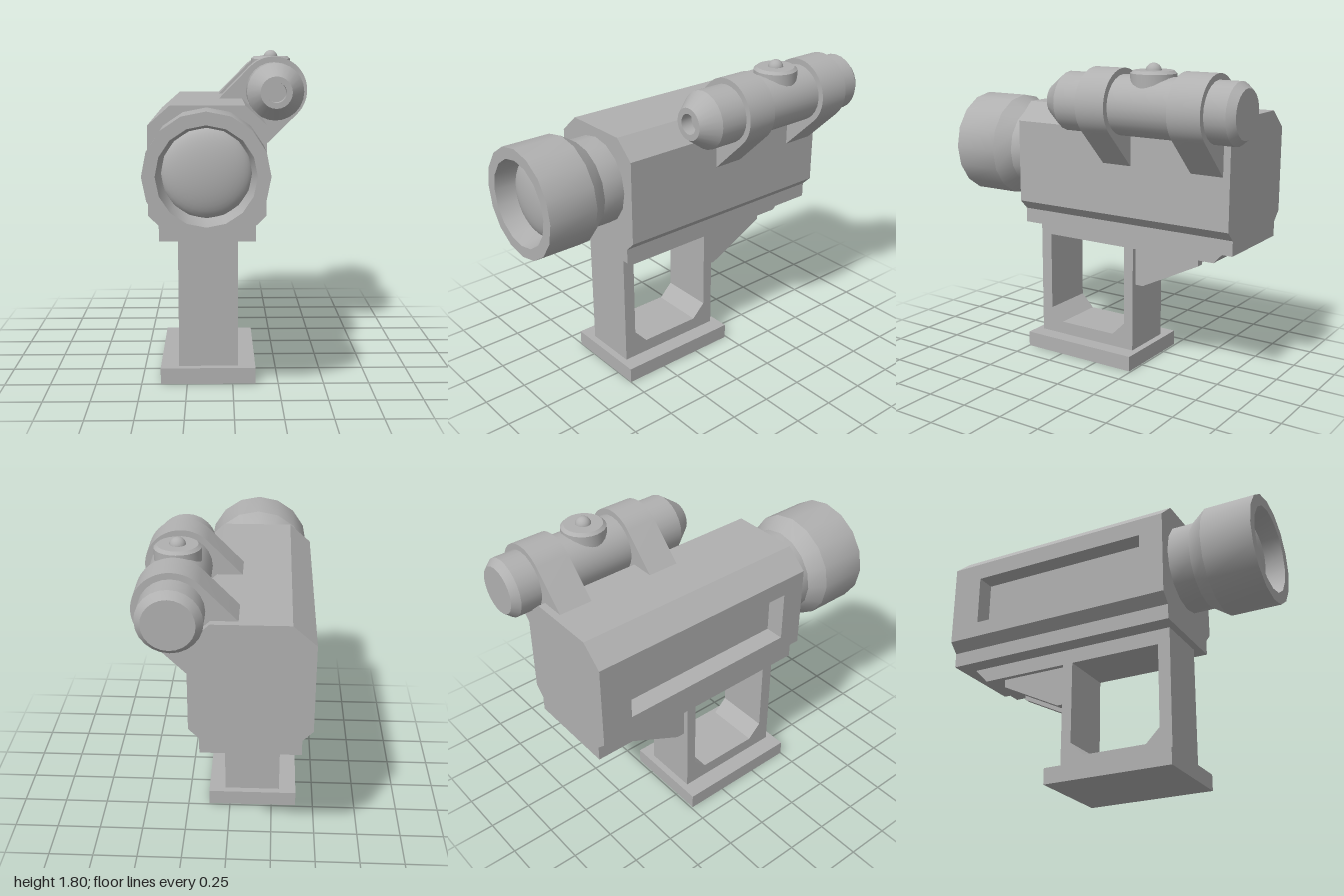
import * as THREE from 'three';
import { toCreasedNormals } from 'three/addons/utils/BufferGeometryUtils.js';

export function createModel() {
  const model = new THREE.Group();
  const grey = new THREE.MeshStandardMaterial({ color: 0xb0b0b0 });
  grey.name = 'plain grey';

  const add = (name, geometry) => {
    const mesh = new THREE.Mesh(geometry, grey);
    mesh.name = name;
    model.add(mesh);
    return mesh;
  };
  const shapeOf = (points) => new THREE.Shape(points.map(([a, b]) => new THREE.Vector2(a, b)));
  const extrude = (shape, depth) =>
    new THREE.ExtrudeGeometry(shape, { depth, bevelEnabled: false, curveSegments: 14 });
  // Outline in (x, y), running from z0 to z1
  const alongZ = (name, shape, z0, z1) => add(name, extrude(shape, z1 - z0).translate(0, 0, z0));
  // Outline in (z, y), running from x0 to x1
  const alongX = (name, shape, x0, x1) =>
    add(name, extrude(shape, x1 - x0).rotateY(-Math.PI / 2).translate(x1, 0, 0));
  // Profile of [radius, height] turned about the y axis
  const turned = (profile, sides) => toCreasedNormals(
    new THREE.LatheGeometry(profile.map(([r, h]) => new THREE.Vector2(r, h)), sides), 0.45);

  // Main housing: three lengths, the middle one notched for the side recess
  const outline = [
    [-0.395, 0.8], [0.125, 0.8], [0.125, 0.885], [0.18, 0.94], [0.18, 1.42],
    [0.065, 1.525], [-0.33, 1.525], [-0.45, 1.42], [-0.45, 0.94], [-0.395, 0.885],
  ];
  const notch = [[-0.45, 1.32], [-0.34, 1.32], [-0.34, 1.03], [-0.45, 1.03]];
  const notched = [...outline.slice(0, 8), ...notch, ...outline.slice(8)];
  alongZ('housingRear', shapeOf(outline), -0.88, -0.7);
  alongZ('housingMiddle', shapeOf(notched), -0.7, 0.36);
  alongZ('housingFront', shapeOf(outline), 0.36, 0.5);

  // Lens barrel with a flared hood and a recessed bore
  const barrel = turned([
    [0.25, 0.49], [0.25, 0.625], [0.31, 0.715], [0.31, 1], [0.245, 1], [0.22, 0.86],
  ], 16).rotateX(Math.PI / 2);
  add('lensBarrel', barrel).position.set(-0.135, 1.22, 0);

  // Domed lens at the bottom of the bore
  const dome = new THREE.SphereGeometry(0.225, 32, 10, 0, Math.PI * 2, 0, Math.PI / 2)
    .scale(1, 0.35, 1).rotateX(Math.PI / 2);
  add('lens', dome).position.set(-0.135, 1.22, 0.86);

  // Grip frame with a chamfered opening, under a sloped mounting rail
  const grip = shapeOf([[-0.2, 0.09], [0.46, 0.09], [0.46, 0.76], [-0.2, 0.76]]);
  grip.holes.push(shapeOf([
    [-0.14, 0.715], [-0.14, 0.245], [-0.06, 0.165], [0.31, 0.165], [0.39, 0.245], [0.39, 0.715],
  ]));
  alongX('gripFrame', grip, -0.295, 0.03);
  alongX('mountingRail',
    shapeOf([[-0.2, 0.715], [-0.2, 0.8], [-0.8, 0.8], [-0.72, 0.715]]), -0.295, 0.03);
  alongX('gripTop', shapeOf([[-0.2, 0.76], [0.46, 0.76], [0.46, 0.8], [-0.2, 0.8]]), -0.295, 0.03);
  add('basePlate', new THREE.BoxGeometry(0.52, 0.09, 0.74)).position.set(-0.135, 0.045, 0.13);

  // Pair of braces behind the grip
  const brace = [[-0.2, 0.49], [-0.2, 0.715], [-0.61, 0.715], [-0.61, 0.67], [-0.25, 0.49]];
  for (const x of [-0.265, -0.045]) alongX('brace', shapeOf(brace), x, x + 0.045);

  // Sighting scope with a tapered, hollow nose
  const cx = 0.25, cy = 1.573;
  const scope = turned([
    [0, -1], [0.13, -1], [0.163, -0.96], [0.163, 0.07], [0.09, 0.17],
    [0.057, 0.17], [0.057, 0.1], [0, 0.1],
  ], 24).rotateX(Math.PI / 2);
  add('scopeTube', scope).position.set(cx, cy, 0);

  // Two slanted clamps joining the scope to the housing
  const clamp = new THREE.Shape();
  clamp.moveTo(-0.073, 1.523);
  clamp.lineTo(0.06, 1.4);
  clamp.lineTo(0.178, 1.228);
  clamp.absarc(cx, cy, 0.195, -Math.PI / 4, Math.PI * 0.75, false);
  clamp.closePath();
  for (const [z0, z1] of [[-0.84, -0.65], [-0.275, -0.095]]) {
    const mesh = alongZ('scopeClamp', clamp, z0, z1);
    mesh.geometry = toCreasedNormals(mesh.geometry, 0.45);
  }

  // Adjustment dial and its button
  const dial = turned([[0.122, 1.6], [0.122, 1.75], [0.105, 1.765], [0, 1.765]], 24);
  add('dial', dial).position.set(cx, 0, -0.46);
  add('dialButton', new THREE.SphereGeometry(0.043, 16, 12)).position.set(cx, 1.76, -0.46);

  return model;
}
